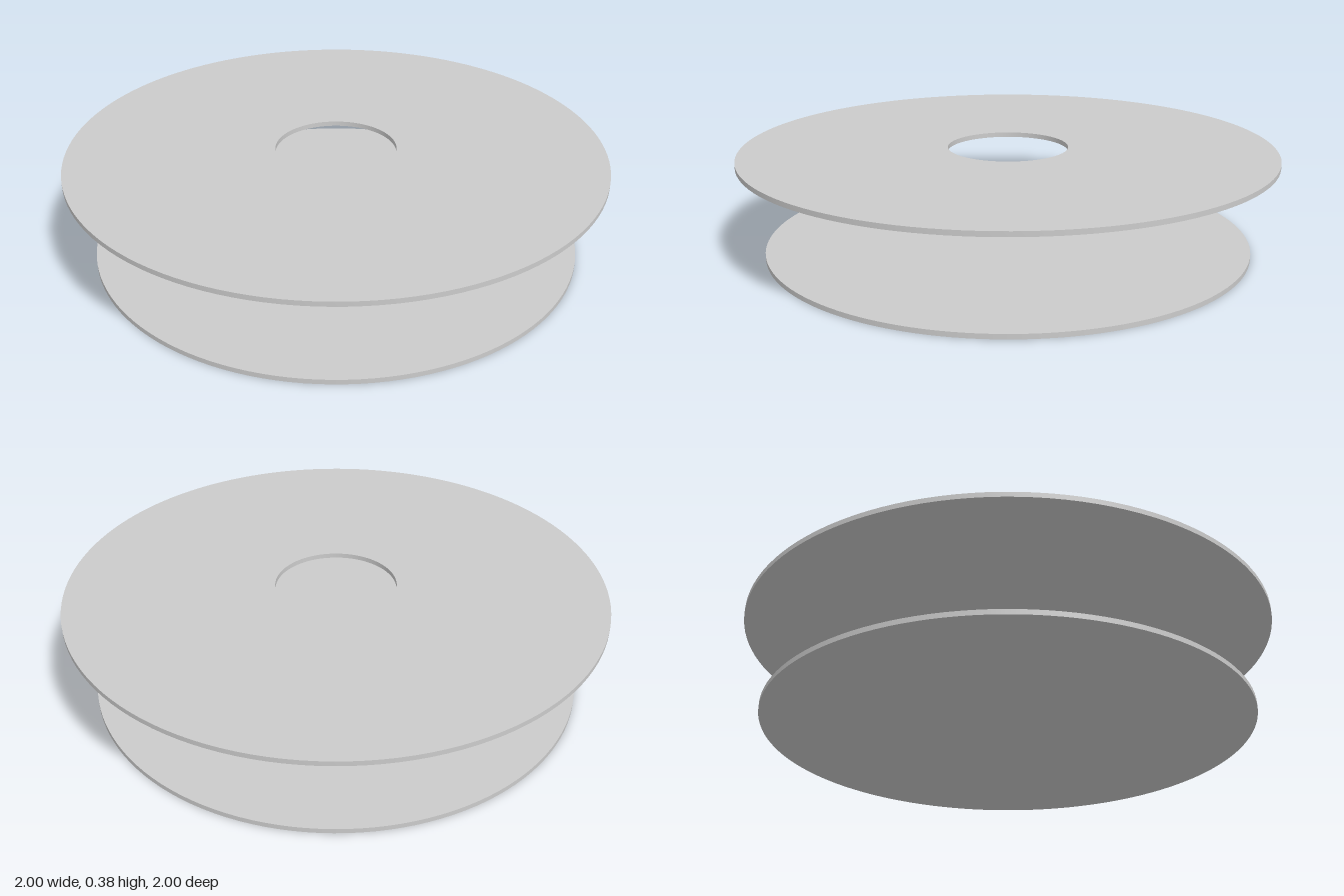
import * as THREE from 'three';
import { toCreasedNormals } from 'three/addons/utils/BufferGeometryUtils.js';

const SEGMENTS = 128;
const THICKNESS = 0.018;

export function createModel() {
  const group = new THREE.Group();
  const material = new THREE.MeshStandardMaterial({ color: 0xcccccc });

  // Solid lower disc, standing on the ground
  const lowerDisc = new THREE.Mesh(
    new THREE.CylinderGeometry(0.914, 0.914, THICKNESS, SEGMENTS), material);
  lowerDisc.name = 'lowerDisc';
  lowerDisc.position.y = THICKNESS / 2;
  group.add(lowerDisc);

  // Wider upper disc with a round hole, floating above the lower one
  const inner = 0.226, outer = 1;
  const profile = [
    [inner, 0], [outer, 0], [outer, THICKNESS], [inner, THICKNESS], [inner, 0],
  ].map(([x, y]) => new THREE.Vector2(x, y));
  const upperRing = new THREE.Mesh(
    toCreasedNormals(new THREE.LatheGeometry(profile, SEGMENTS), Math.PI / 6), material);
  upperRing.name = 'upperRing';
  upperRing.position.y = 0.357;
  group.add(upperRing);

  return group;
}
